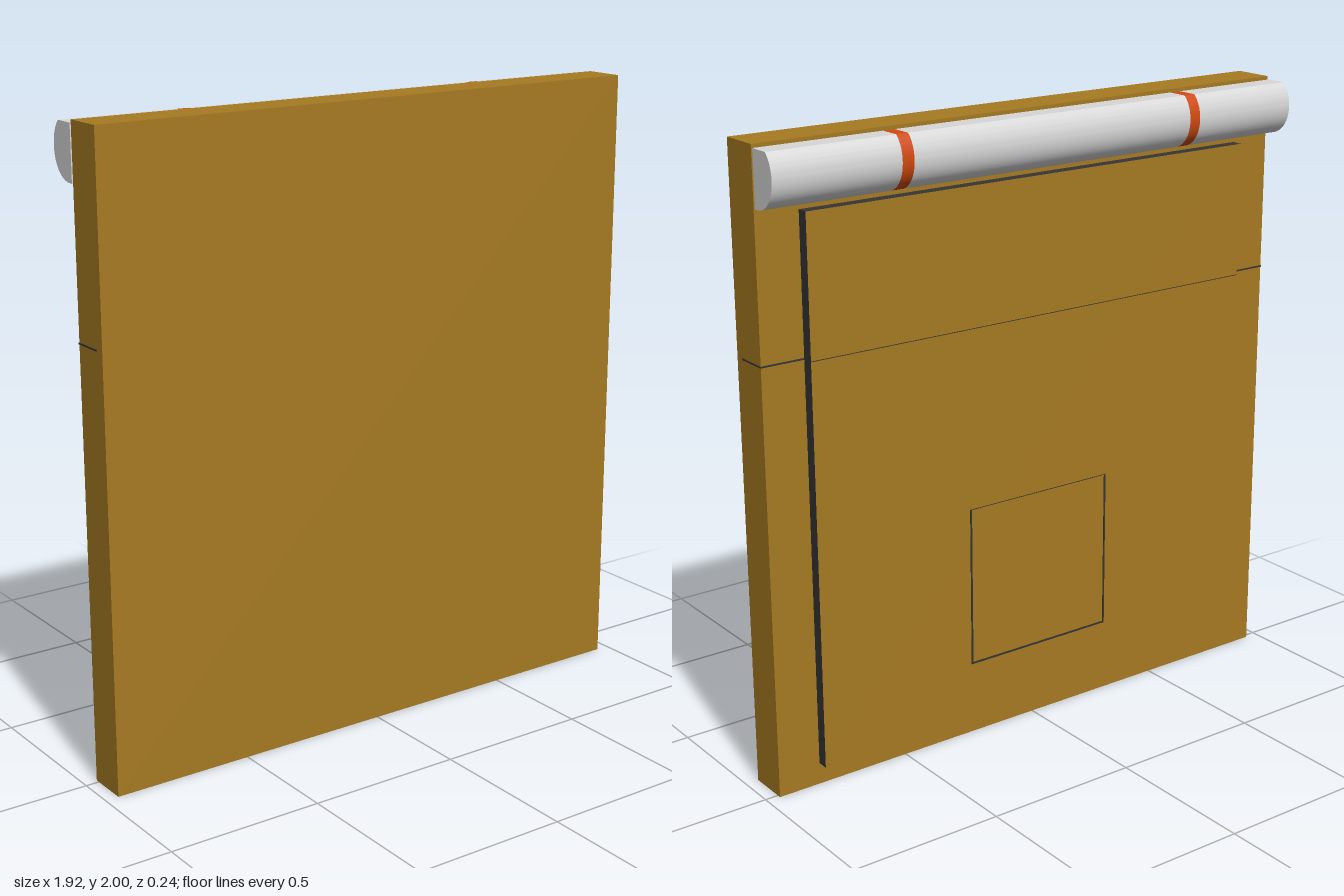
import * as THREE from 'three';
import { toCreasedNormals } from 'three/addons/utils/BufferGeometryUtils.js';

const W = 0.957; // half width of the panel
const BACK = -0.013; // rear face of the main panel
const PLATE = -0.05; // rear face of the raised plate

function material(name, color) {
  const m = new THREE.MeshStandardMaterial({ color });
  m.name = name;
  return m;
}

export function createModel() {
  const tan = material('tan', 0xa67a22);
  const dark = material('charcoal', 0x353535);
  const silver = material('silver', 0xd8d8d8);
  const orange = material('orange', 0xd04a10);
  const model = new THREE.Group();

  // Box given by its lower and upper corners
  function box(name, [x0, y0, z0], [x1, y1, z1], mat) {
    const mesh = new THREE.Mesh(new THREE.BoxGeometry(x1 - x0, y1 - y0, z1 - z0), mat);
    mesh.position.set((x0 + x1) / 2, (y0 + y1) / 2, (z0 + z1) / 2);
    mesh.name = name;
    model.add(mesh);
  }

  // Main panel and the raised rear plate with dark edges
  box('mainPanel', [-W, 0, BACK], [W, 2, 0.12], tan);
  box('rearPlate', [-0.815, 0.07, PLATE], [0.815, 1.8, BACK + 0.005],
    [dark, dark, dark, dark, dark, tan]);

  // Seam running round the sides and across the back
  const y0 = 1.362, y1 = 1.367, t = 0.002;
  for (const s of [-1, 1]) {
    const side = [s * W, s * (W + t)].sort((a, b) => a - b);
    const rear = [s * 0.815, s * (W + t)].sort((a, b) => a - b);
    box('sideSeam', [side[0], y0, BACK - t], [side[1], y1, 0.09], dark);
    box('rearSeam', [rear[0], y0, BACK - t], [rear[1], y1, BACK], dark);
  }
  box('plateSeam', [-0.815, 1.363, PLATE - 0.001], [0.815, 1.365, PLATE], dark);

  // Thin outline of the pocket on the rear plate
  const px = 0.265, b = 0.26, top = 0.785;
  for (const x of [-px, px]) {
    box('pocketSide', [x - 0.003, b, PLATE - t], [x + 0.003, top, PLATE], dark);
  }
  box('pocketBottom', [-px, b, PLATE - t], [px, b + 0.006, PLATE], dark);
  box('pocketTop', [-px, top - 0.002, PLATE - 0.001], [px, top, PLATE], dark);

  // Roll profile: flat against the panel, rounded to the rear
  const profile = new THREE.Shape();
  profile.moveTo(0.02, 1.82);
  profile.lineTo(0.035, 1.82);
  profile.bezierCurveTo(0.085, 1.822, 0.119, 1.865, 0.119, 1.915);
  profile.bezierCurveTo(0.119, 1.945, 0.108, 1.973, 0.088, 1.99);
  profile.lineTo(0.02, 1.99);
  profile.closePath();

  function rollSection(name, x0, x1, mat) {
    const geo = new THREE.ExtrudeGeometry(profile, {
      depth: x1 - x0, bevelEnabled: false, curveSegments: 12,
    });
    geo.rotateY(Math.PI / 2).translate(x0, 0, 0);
    const mesh = new THREE.Mesh(toCreasedNormals(geo, 0.5), mat);
    mesh.name = name;
    model.add(mesh);
  }

  // Roll in alternating sections of cover and strap
  const cuts = [-W, -0.575, -0.535, 0.495, 0.535, W];
  for (let i = 0; i < 5; i++) {
    const strap = i % 2 === 1;
    rollSection(strap ? 'rollStrap' : 'rollCover', cuts[i], cuts[i + 1], strap ? orange : silver);
  }
  return model;
}
